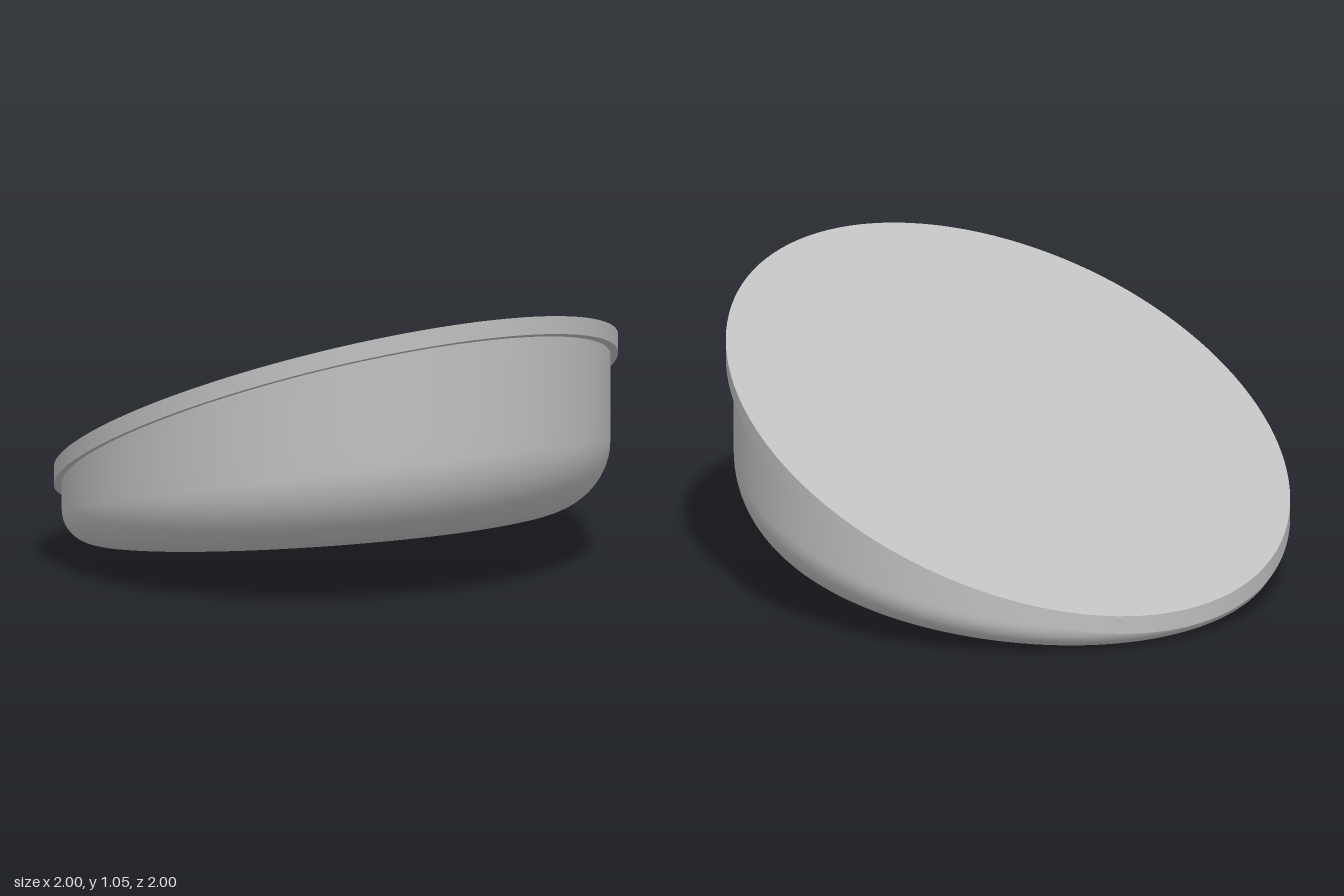
import * as THREE from 'three';

const SEG = 128;
const LID_SLOPE = 0.465;
const lidUnder = (z) => 0.52 + LID_SLOPE * z;
const floorY = (z) => 0.125 + 0.134 * z;

// Closed loops of points joined into one smooth skin, with a fan closing the last loop
function skin(loops, centre) {
  const pos = loops.flat(2).concat(centre);
  const idx = [];
  const at = (r, i) => r * SEG + (i % SEG);
  const last = loops.length - 1;
  for (let i = 0; i < SEG; i++) {
    for (let r = 0; r < last; r++) {
      const a = at(r, i), b = at(r, i + 1), c = at(r + 1, i), d = at(r + 1, i + 1);
      idx.push(a, c, b, b, c, d);
    }
    idx.push(at(last, i), loops.length * SEG, at(last, i + 1));
  }
  const g = new THREE.BufferGeometry();
  g.setAttribute('position', new THREE.Float32BufferAttribute(pos, 3));
  g.setIndex(idx);
  g.computeVertexNormals();
  return g;
}

// One loop; place(z) gives [inset, y] for a wall point at depth z
function loop(place) {
  return Array.from({ length: SEG }, (_, i) => {
    const a = (i / SEG) * Math.PI * 2;
    const x = Math.sin(a), z = Math.cos(a);
    const [inset, y] = place(z);
    const rad = 0.972 - inset;
    return [x * rad, y(z * rad), z * rad];
  });
}

export function createModel() {
  const group = new THREE.Group();
  const grey = new THREE.MeshStandardMaterial({ color: 0xc0c0c0 });
  grey.name = 'plain grey';

  // Bowl: upright wall, rounded edge that grows towards the front, slanted floor
  const edge = (z) => 0.19 + 0.11 * z;
  const loops = [];
  for (let k = 0; k < 4; k++) {
    loops.push(loop((z) => [0, (d) => {
      const low = floorY(d) + edge(z);
      return low + Math.max(lidUnder(d) + 0.005 - low, 0) * (1 - k / 4);
    }]));
  }
  for (let k = 0; k <= 14; k++) {
    const t = (k / 14) * Math.PI / 2;
    loops.push(loop((z) => [edge(z) * (1 - Math.cos(t)),
      (d) => Math.min(floorY(d) + edge(z) * (1 - Math.sin(t)), lidUnder(d) + 0.005)]));
  }
  loops.push(loop((z) => [edge(z) + 0.02, floorY]));
  const bowl = new THREE.Mesh(skin(loops, [0, floorY(0), 0]), grey);
  bowl.name = 'bowl';
  group.add(bowl);

  // Lid: thin disc sheared so that it slopes down to the back, its rim staying upright
  const disc = new THREE.CylinderGeometry(1, 1, 0.065, SEG);
  const p = disc.attributes.position;
  for (let i = 0; i < p.count; i++) {
    p.setY(i, p.getY(i) + 0.0325 + lidUnder(p.getZ(i)));
  }
  // The rim keeps its radial normals; only the two flat faces tilt
  const n = disc.attributes.normal;
  const up = new THREE.Vector3(0, 1, -LID_SLOPE).normalize();
  for (let i = 0; i < n.count; i++) {
    const s = Math.round(n.getY(i));
    if (s !== 0) n.setXYZ(i, 0, up.y * s, up.z * s);
  }
  const lid = new THREE.Mesh(disc, grey);
  lid.name = 'lid';
  group.add(lid);

  return group;
}
